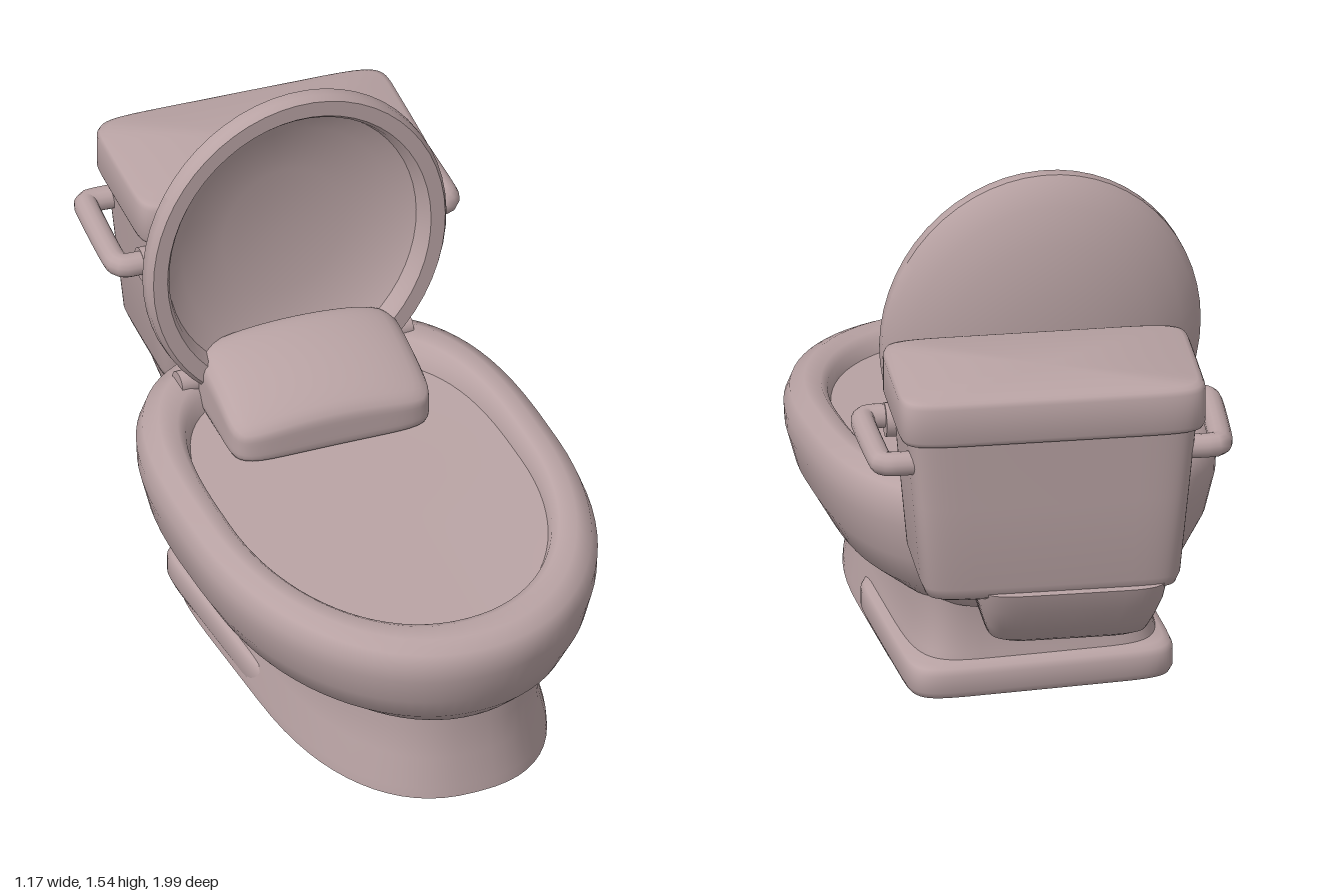
import * as THREE from 'three';
import { mergeVertices, toCreasedNormals } from 'three/addons/utils/BufferGeometryUtils.js';

const porcelain = new THREE.MeshStandardMaterial({ color: 0xb9a3a4 });
porcelain.name = 'porcelain';

function add(parent, name, geometry) {
  const mesh = new THREE.Mesh(geometry, porcelain);
  mesh.name = name;
  parent.add(mesh);
  return mesh;
}

// Superellipse ring in plan; the front and back halves may differ in squareness
function ring({ x = 0, z = 0, rx, rz, y, front = 8, back = front }, count) {
  const points = [];
  for (let j = 0; j < count; j++) {
    const a = (j / count) * Math.PI * 2, c = Math.cos(a), s = Math.sin(a);
    const e = 2 / (s >= 0 ? front : back);
    const px = x + rx * Math.sign(c) * Math.abs(c) ** e;
    const pz = z + rz * Math.sign(s) * Math.abs(s) ** e;
    points.push([px, typeof y === 'function' ? y(pz) : y, pz]);
  }
  return points;
}

// Skin stacked rings and close both ends
function loft(sections, crease = 0.7, count = 64) {
  const rings = sections.map((s) => ring(s, count));
  const positions = rings.flat(2), index = [];
  for (let i = 0; i < rings.length - 1; i++) {
    for (let j = 0; j < count; j++) {
      const a = i * count + j, b = i * count + ((j + 1) % count);
      index.push(a, a + count, b, b, a + count, b + count);
    }
  }
  [0, rings.length - 1].forEach((i, end) => {
    const centre = positions.length / 3;
    for (let k = 0; k < 3; k++) positions.push(rings[i].reduce((t, p) => t + p[k], 0) / count);
    for (let j = 0; j < count; j++) {
      const a = i * count + j, b = i * count + ((j + 1) % count);
      index.push(centre, end ? b : a, end ? a : b);
    }
  });
  const g = new THREE.BufferGeometry();
  g.setAttribute('position', new THREE.Float32BufferAttribute(positions, 3));
  g.setIndex(index);
  return toCreasedNormals(g, crease);
}

// Slab with softened top and bottom edges
function slab(y0, y1, rx, rz, x, z, r, square = 9) {
  const s = (y, inset) => ({ x, z, rx: rx - inset, rz: rz - inset, y, front: square });
  return loft([s(y0, r), s(y0 + r * 0.3, r * 0.3), s(y0 + r, 0), s(y1 - r, 0), s(y1 - r * 0.3, r * 0.3), s(y1, r)], 1.2);
}

export function createModel() {
  const model = new THREE.Group();
  model.name = 'toilet';

  // Bowl: rim climbs towards the back, recessed floor inside
  const rimY = (z) => 0.643 - 0.068 * z - 0.025 * z * z;
  const bowlProfile = [
    [0.60, 0.83, 0], [0.72, 0.88, 0.05], [0.86, 0.94, 0.2], [0.95, 0.98, 0.43],
    [0.995, 1, 0.68], [1, 1, 0.82], [0.97, 0.98, 0.94], [0.9, 0.92, 1],
    [0.82, 0.84, 0.99], [0.79, 0.80, 0.94], [0.775, 0.775, 0.84],
  ];
  add(model, 'bowl', loft(bowlProfile.map(([sx, sz, f]) => ({
    x: -0.015, z: 0.24, rx: 0.565 * sx, rz: 0.76 * sz, front: 2.1, back: 3,
    y: (z) => 0.245 + f * (rimY(z) - 0.245),
  })), 0.8, 80));

  // Pedestal: rounded front, square back
  add(model, 'pedestal', loft([
    [0, 0.375, 0.655, 0.255], [0.03, 0.373, 0.65, 0.255], [0.12, 0.35, 0.635, 0.255],
    [0.2, 0.342, 0.625, 0.255], [0.28, 0.345, 0.63, 0.25],
  ].map(([y, rx, rz, z]) => ({ x: -0.01, y, rx, rz, z, front: 2.4, back: 7 }))));
  add(model, 'foot', slab(0, 0.1, 0.38, 0.36, -0.005, -0.07, 0.025));

  // Open seat cover: shallow dished oval, standing upright
  const coverProfile = [
    [0, -0.18], [0.35, -0.172], [0.65, -0.145], [0.85, -0.105], [0.96, -0.072],
    [1, -0.05], [1, -0.018], [0.975, 0], [0.88, 0], [0.855, -0.015],
    [0.83, -0.05], [0.7, -0.085], [0.4, -0.115], [0, -0.125],
  ].map(([r, y]) => new THREE.Vector2(r, y));
  const coverGeometry = new THREE.LatheGeometry(coverProfile, 56);
  coverGeometry.scale(0.453, 1, 0.49);
  coverGeometry.deleteAttribute('uv');
  coverGeometry.deleteAttribute('normal');
  const cover = add(model, 'seatCover', toCreasedNormals(mergeVertices(coverGeometry), 0.7));
  cover.position.set(-0.008, 1.05, -0.3);
  cover.rotation.x = Math.PI / 2 - 0.035;

  // Hinge knuckles
  for (const side of [-1, 1]) {
    const hinge = add(model, 'hinge', new THREE.CylinderGeometry(0.035, 0.035, 0.1, 16));
    hinge.rotation.z = Math.PI / 2;
    hinge.position.set(side * 0.3, 0.66, -0.36);
  }

  // Cushion: rounded block whose top slopes down to the front
  const cushionGeometry = new THREE.BoxGeometry(2, 2, 2, 18, 10, 18);
  cushionGeometry.deleteAttribute('uv');
  cushionGeometry.deleteAttribute('normal');
  const p = cushionGeometry.attributes.position;
  for (let i = 0; i < p.count; i++) {
    const v = new THREE.Vector3().fromBufferAttribute(p, i);
    const n = 7;
    v.divideScalar((Math.abs(v.x) ** n + Math.abs(v.y) ** n + Math.abs(v.z) ** n) ** (1 / n));
    const top = 0.8 - 0.1 * ((v.z + 1) / 2) ** 2.2 - 0.035 * v.x * v.x;
    p.setXYZ(i, v.x * 0.295, 0.57 + (top - 0.57) * (v.y + 1) / 2, v.z * 0.185);
  }
  const smoothCushion = mergeVertices(cushionGeometry);
  smoothCushion.computeVertexNormals();
  const cushion = add(model, 'cushion', smoothCushion);
  cushion.position.set(-0.015, 0, -0.19);
  cushion.rotation.y = -0.06;

  // Cistern, turned slightly on its mount
  const cistern = new THREE.Group();
  cistern.name = 'cistern';
  cistern.position.set(0.075, 0, -0.73);
  cistern.rotation.y = -0.09;
  model.add(cistern);
  add(cistern, 'tank', loft([
    [0.51, 0.33, 0.185, 0.015], [0.52, 0.35, 0.2, 0.015], [0.55, 0.362, 0.208, 0.015],
    [0.8, 0.385, 0.217, 0.008], [1.02, 0.405, 0.225, 0],
  ].map(([y, rx, rz, z]) => ({ y, rx, rz, z, front: 9 })), 1));
  add(cistern, 'tankLid', slab(0.995, 1.135, 0.428, 0.235, 0, 0, 0.02));

  // Neck joining the tank to the bowl
  add(cistern, 'neck', loft([
    [0.335, 0.2, 0.22, 0.14], [0.35, 0.225, 0.245, 0.14], [0.4, 0.24, 0.27, 0.12],
    [0.47, 0.26, 0.295, 0.1], [0.53, 0.27, 0.305, 0.09],
  ].map(([y, rx, rz, z]) => ({ x: -0.06, y, rx, rz, z, front: 7 })), 1));

  // Side handles
  for (const side of [-1, 1]) {
    const path = new THREE.CatmullRomCurve3([
      [0.37, 0.925, -0.145], [0.45, 0.925, -0.145], [0.475, 0.925, -0.12],
      [0.485, 0.925, 0.14], [0.465, 0.925, 0.18], [0.37, 0.925, 0.18],
    ].map(([x, y, z]) => new THREE.Vector3(side * x, y, z)), false, 'catmullrom', 0.3);
    add(cistern, 'handle', new THREE.TubeGeometry(path, 40, 0.034, 14));
    const mount = add(cistern, 'handleMount', new THREE.CylinderGeometry(0.048, 0.048, 0.04, 18));
    mount.rotation.z = Math.PI / 2;
    mount.position.set(side * 0.4, 0.915, 0.175);
  }
  return model;
}
